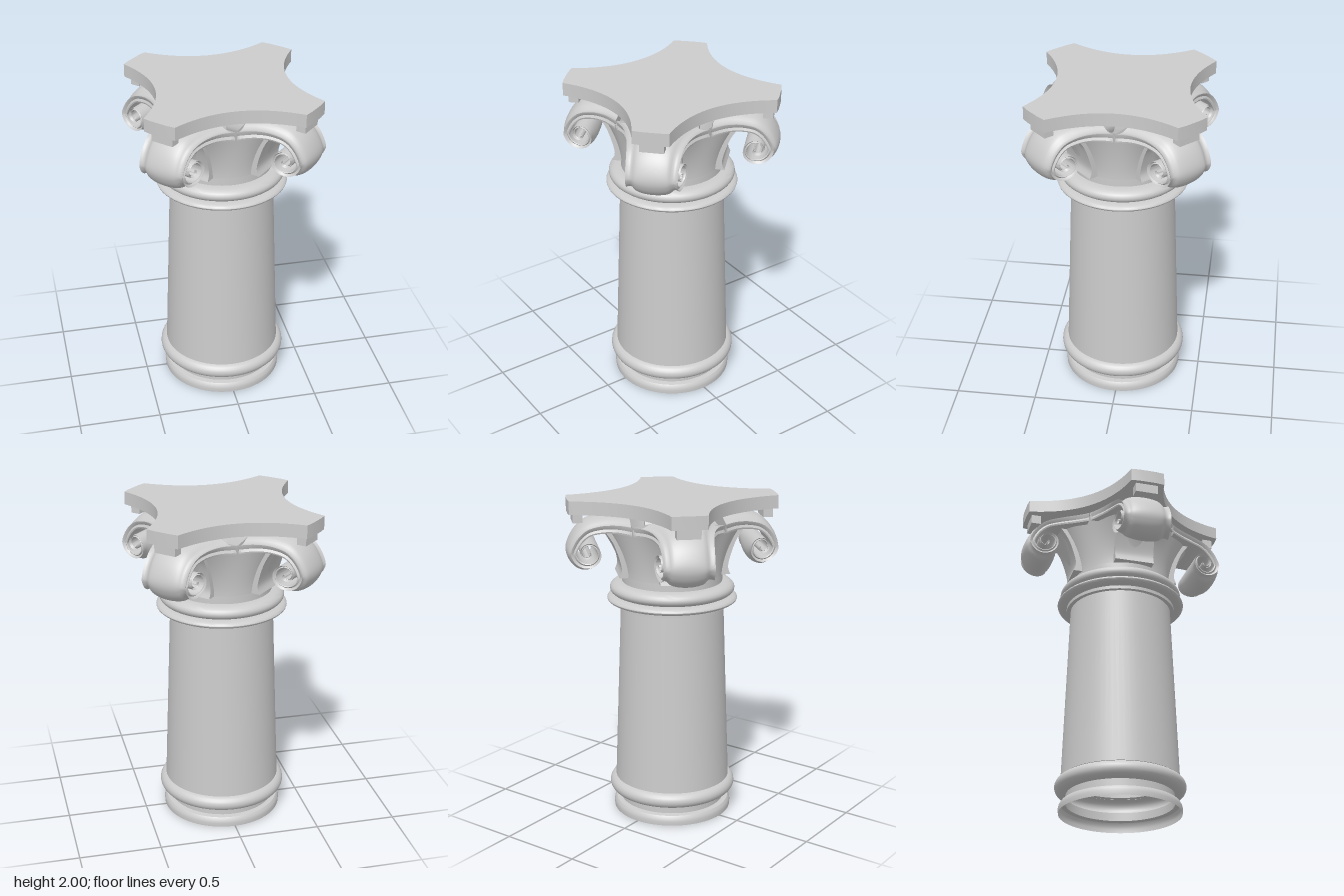
import * as THREE from 'three';
import { toCreasedNormals } from 'three/addons/utils/BufferGeometryUtils.js';

const material = new THREE.MeshStandardMaterial({ color: 0xcccccc, side: THREE.DoubleSide });

function part(name, geometry, crease = 0.6) {
  const mesh = new THREE.Mesh(toCreasedNormals(geometry, crease), material);
  mesh.name = name;
  return mesh;
}

// Skin between closed rings of [x, y, z] points, with flat ends if wanted
function loft(rings, capped = false) {
  const n = rings[0].length, index = [];
  for (let i = 0; i < rings.length - 1; i++) {
    for (let j = 0; j < n; j++) {
      const a = i * n + j, b = i * n + (j + 1) % n;
      index.push(a, a + n, b, b, a + n, b + n);
    }
  }
  if (capped) {
    const last = (rings.length - 1) * n;
    for (let j = 1; j < n - 1; j++) {
      index.push(0, j, j + 1, last, last + j + 1, last + j);
    }
  }
  const geometry = new THREE.BufferGeometry();
  geometry.setAttribute('position', new THREE.Float32BufferAttribute(rings.flat(2), 3));
  geometry.setIndex(index);
  return geometry;
}

function lathe(name, points) {
  return part(name, new THREE.LatheGeometry(points.map(([r, y]) => new THREE.Vector2(r, y)), 64));
}

// Rounded moulding profile between two heights, as half an ellipse
function bead(inner, outer, y0, y1) {
  const points = [];
  for (let i = 0; i <= 12; i++) {
    const a = -Math.PI / 2 + Math.PI * i / 12;
    const c = Math.pow(Math.cos(a) + 1e-9, 0.8);
    points.push([inner + (outer - inner) * c, (y0 + y1) / 2 + (y1 - y0) / 2 * Math.sin(a)]);
  }
  return points;
}

// Half-width of the scroll at diagonal distance d: it follows the concave sides
function scrollHalfWidth(d) {
  const a = 1.377;
  const x = (-1 + Math.sqrt(1 + 4 * a * Math.max(0, Math.SQRT2 * d - 0.39))) / (2 * a);
  return d - Math.SQRT2 * x;
}

// Ribbon running out under the abacus and curling up at the corner
function scrollGeometry() {
  const path = [[0.277, 1.868], [0.36, 1.87], [0.45, 1.86], [0.53, 1.833], [0.59, 1.775]]
    .map(([d, y]) => new THREE.Vector3(d, y, 0));
  const turns = 32;
  for (let i = 0; i <= turns; i++) {
    const t = i / turns, r = 0.09 * (1 - t) + 0.012, a = -t * Math.PI * 2 * 1.6;
    path.push(new THREE.Vector3(0.523 + r * Math.cos(a), 1.695 + r * Math.sin(a), 0));
  }
  const curve = new THREE.CatmullRomCurve3(path, false, 'centripetal');
  const rings = [], steps = 110, across = 28;
  for (let i = 0; i <= steps; i++) {
    const u = i / steps, p = curve.getPointAt(u), t = curve.getTangentAt(u);
    const nd = -t.y, ny = t.x;
    const half = scrollHalfWidth(p.x);
    const thick = THREE.MathUtils.lerp(0.055, 0.014, Math.min(1, u * 1.25));
    const swell = 1 - THREE.MathUtils.smoothstep(u, 0.55, 0.72);
    const ring = [];
    const add = (q, off) => ring.push([q, p.y + ny * off, p.x + nd * off * (off > 0 && nd > 0 ? 0.55 : 1)]);
    // Outer face: rim, groove, then a swelling middle
    for (let j = 0; j <= across; j++) {
      const s = -1 + 2 * j / across, m = Math.abs(s);
      const off = m < 0.72
        ? 0.036 * Math.pow(1 - (m / 0.72) ** 2, 0.5)
        : -0.008 * Math.sin(Math.PI * (m - 0.72) / 0.28);
      add(s * half, off * swell);
    }
    // Hollowed edges and plain inner face
    add(half - 0.003, -thick * 0.2);
    add(half - 0.012, -thick * 0.5);
    add(half - 0.003, -thick * 0.8);
    add(half - 0.006, -thick);
    add(-half + 0.006, -thick);
    add(-half + 0.003, -thick * 0.8);
    add(-half + 0.012, -thick * 0.5);
    add(-half + 0.003, -thick * 0.2);
    rings.push(ring);
  }
  return loft(rings, true);
}

// Flat strip rising up the bell below each scroll
function stripGeometry() {
  const curve = new THREE.SplineCurve([[0.43, 1.83], [0.375, 1.75], [0.34, 1.66], [0.322, 1.58], [0.337, 1.53]]
    .map(([d, y]) => new THREE.Vector2(d, y)));
  const rings = curve.getPoints(20).map(({ x: d, y }) =>
    [[-0.123, y, d], [0.123, y, d], [0.123, y, d - 0.08], [-0.123, y, d - 0.08]]);
  return loft(rings, true);
}

// Bell changing from a circle below to a four-cornered plan above
function bellGeometry() {
  const rings = [], steps = 16, n = 96;
  for (let i = 0; i <= steps; i++) {
    const t = 1 - i / steps, ring = [];
    for (let j = 0; j < n; j++) {
      const a = j / n * Math.PI * 2;
      const top = 0.365 + 0.1 * Math.sin(2 * a) ** 2;
      const r = THREE.MathUtils.lerp(0.308, top, Math.pow(t, 1.6));
      ring.push([r * Math.sin(a), 1.53 + 0.33 * t, r * Math.cos(a)]);
    }
    rings.push(ring);
  }
  return loft(rings);
}

// Top slab with four concave sides and bowed corners
function abacusGeometry() {
  const shape = new THREE.Shape(), points = [];
  for (let k = 0; k < 4; k++) {
    const c = Math.cos(k * Math.PI / 2), s = Math.sin(k * Math.PI / 2);
    const add = (x, z) => points.push(new THREE.Vector2(x * c - z * s, x * s + z * c));
    for (let i = 0; i <= 20; i++) {
      const x = 0.37 - 0.74 * i / 20;
      add(x, 0.393 + 0.125 * (x / 0.37) ** 2);
    }
    add(-0.412, 0.484);
    add(-0.448, 0.448);
    add(-0.484, 0.412);
  }
  shape.setFromPoints(points);
  const geometry = new THREE.ExtrudeGeometry(shape, { depth: 0.08, bevelEnabled: false });
  return geometry.rotateX(-Math.PI / 2).translate(0, 1.92, 0);
}

export function createModel() {
  const group = new THREE.Group();
  group.name = 'column';

  // Base, shaft and neck mouldings
  group.add(lathe('base', [[0.368, 0], [0.37, 0.025], [0.366, 0.045], [0.355, 0.06], [0.325, 0.064], [0.325, 0.115]]));
  group.add(lathe('baseRing', bead(0.325, 0.394, 0.113, 0.213)));
  group.add(lathe('shaft', [[0.325, 0.2], [0.357, 0.212], [0.315, 1.332]]));
  group.add(lathe('collar', [[0.31, 1.33], [0.34, 1.33], [0.34, 1.352]]));
  group.add(lathe('lowerNeckRing', bead(0.32, 0.398, 1.35, 1.4)));
  group.add(lathe('upperNeckRing', bead(0.3, 0.381, 1.396, 1.482)));
  group.add(lathe('neck', [[0.306, 1.47], [0.306, 1.535]]));

  // Capital
  group.add(part('bell', bellGeometry()));
  const scroll = scrollGeometry(), strip = stripGeometry();
  const block = new THREE.BoxGeometry(0.14, 0.06, 0.06).translate(0, 1.892, 0.575);
  for (let k = 0; k < 4; k++) {
    const corner = new THREE.Group();
    corner.name = 'corner' + (k + 1);
    corner.add(part('scroll', scroll), part('strip', strip), part('block', block));
    corner.rotation.y = Math.PI / 4 + k * Math.PI / 2;
    group.add(corner);
  }
  group.add(part('abacus', abacusGeometry()));
  return group;
}
